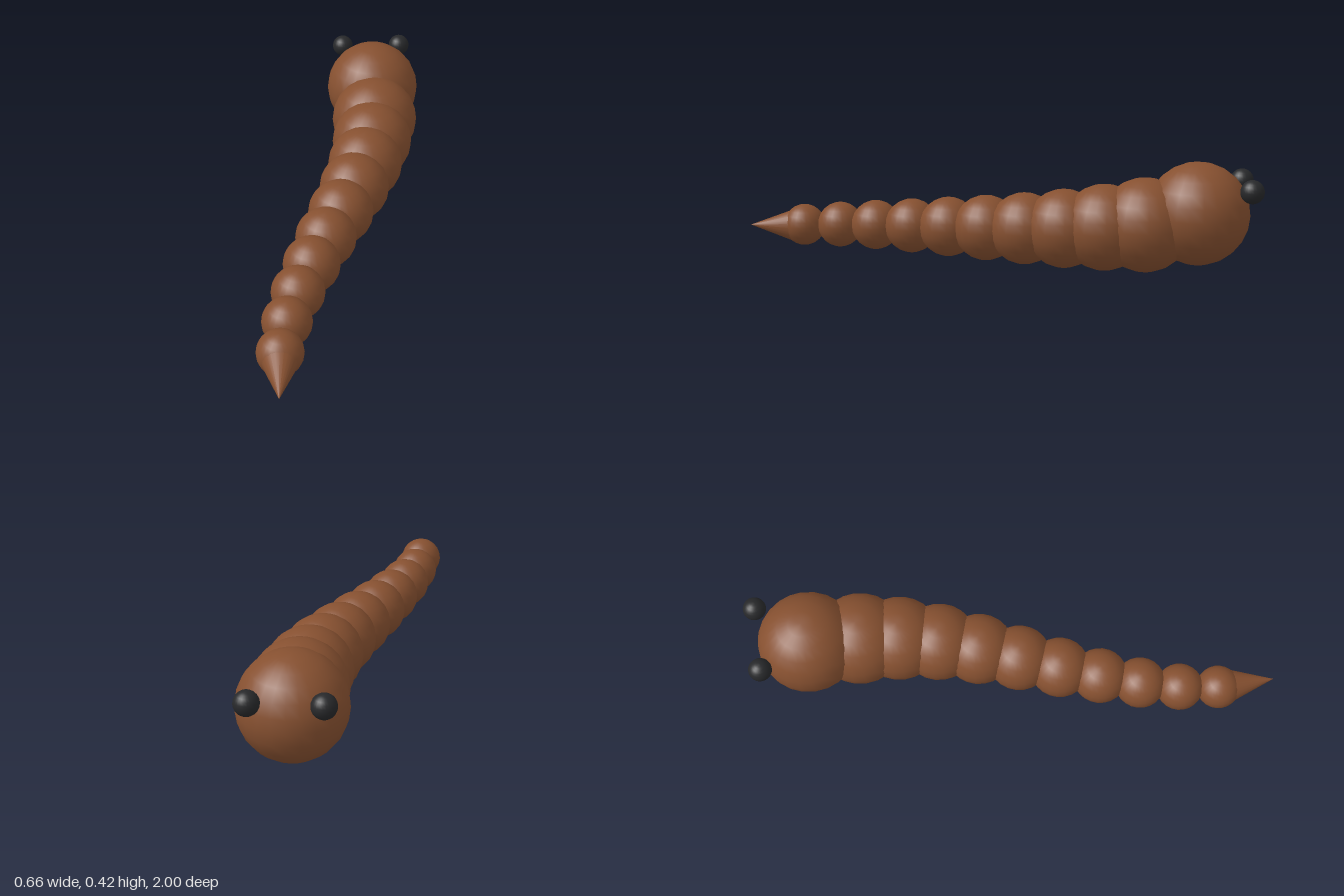
import * as THREE from 'three';

export function createModel() {
  const model = new THREE.Group();
  model.name = 'worm';

  const brown = new THREE.MeshStandardMaterial({ color: 0x865030 });
  brown.name = 'brown skin';
  const black = new THREE.MeshStandardMaterial({ color: 0x27282a });
  black.name = 'black eye';

  function addMesh(name, geometry, material, x, y, z) {
    const mesh = new THREE.Mesh(geometry, material);
    mesh.name = name;
    mesh.position.set(x, y, z);
    model.add(mesh);
  }
  const ball = (r) => new THREE.SphereGeometry(r, 24, 12);

  // Head
  const headX = 0.134;
  addMesh('head', ball(0.194), brown, headX, 0.223, -0.777);

  // Eyes on the upper corners of the head
  for (const side of [1, -1]) {
    addMesh(side > 0 ? 'leftEye' : 'rightEye', ball(0.044), black, headX + side * 0.124, 0.329, -0.956);
  }

  // Body segments shrink steadily towards the tail along a gentle S-curve
  const segmentX = [0.135, 0.118, 0.084, 0.035, -0.022, -0.082, -0.137, -0.187, -0.225, -0.247];
  segmentX.forEach((x, i) => {
    const r = 0.178 * 0.92 ** i;
    addMesh('bodySegment' + (i + 1), ball(r), brown, x, r, -0.582 + i * 0.151);
  });

  // Tail spike, its base sunk into the last segment
  const length = 0.18;
  const spike = new THREE.ConeGeometry(0.066, length, 24);
  spike.rotateX(Math.PI / 2);
  addMesh('tailSpike', spike, brown, -0.247, 0.081, 1 - length / 2);

  return model;
}
